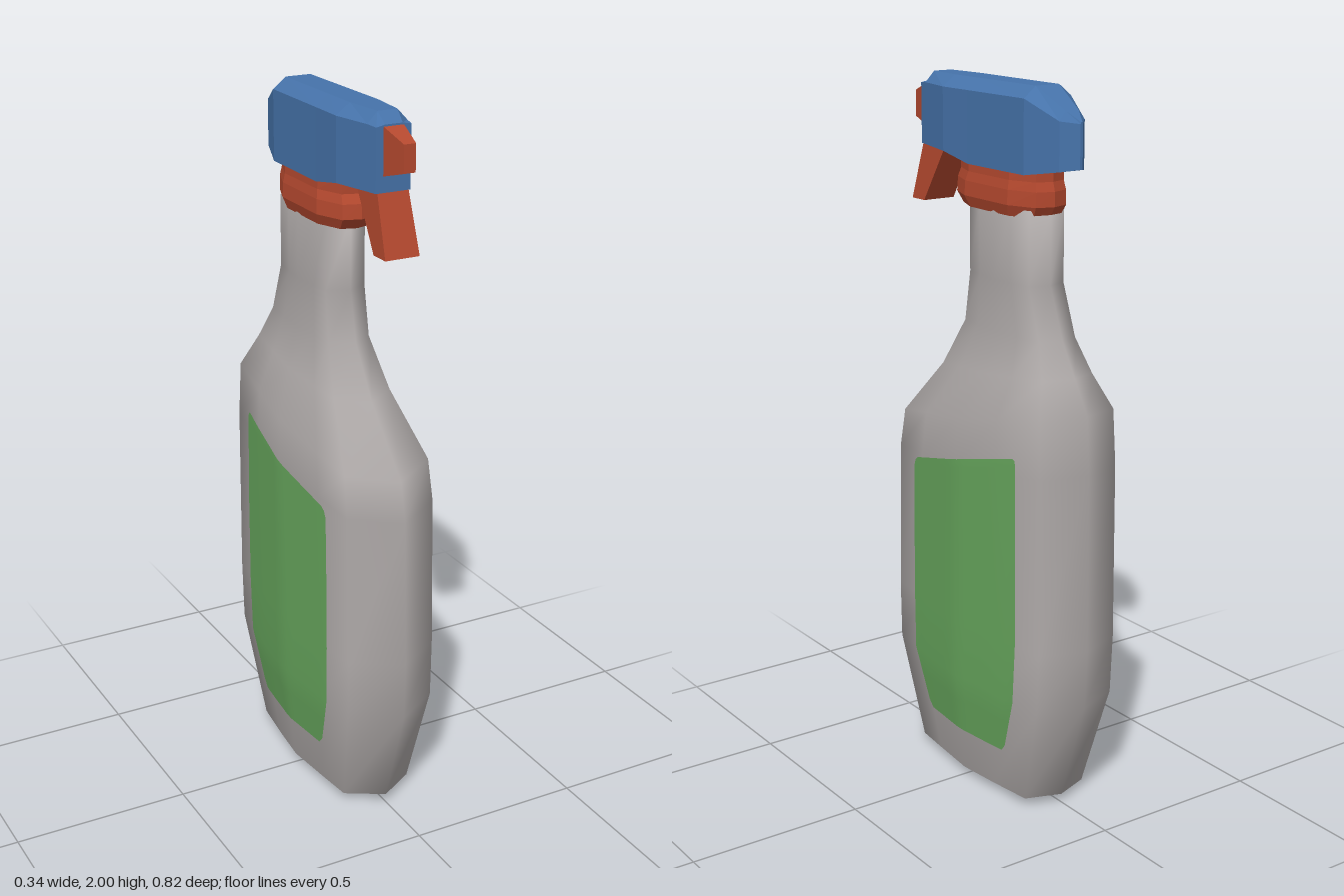
import * as THREE from 'three';

// Skin a closed solid through rings of [x, y, z] points (counter-clockwise seen from the last ring).
function loft(rings, smooth = false) {
  const n = rings[0].length;
  const pos = rings.flat(2);
  const index = [];
  for (let i = 0; i < rings.length - 1; i++) {
    for (let j = 0; j < n; j++) {
      const k = (j + 1) % n;
      const a = i * n + j, b = i * n + k, c = a + n, d = b + n;
      index.push(a, b, d, a, d, c);
    }
  }
  const last = (rings.length - 1) * n;
  for (let j = 1; j < n - 1; j++) {
    index.push(0, j + 1, j);
    index.push(last, last + j, last + j + 1);
  }
  let g = new THREE.BufferGeometry();
  g.setAttribute('position', new THREE.Float32BufferAttribute(pos, 3));
  g.setIndex(index);
  if (!smooth) g = g.toNonIndexed();
  g.computeVertexNormals();
  return g;
}

const lerp = THREE.MathUtils.lerp;

// Half outline of the body seen from above: [width fraction, depth fraction], front to back
const OUTLINE = [[0, 1], [0.8, 0.8], [0.89, 0.45], [1, -0.03], [0.9, -0.45], [0.77, -0.88], [0, -1]];

// Body levels: [front y, back y, front z, back z, half width]
const LEVELS = [
  [0, 0, 0.22, -0.22, 0.075],
  [0.025, 0.025, 0.31, -0.3, 0.13],
  [0.33, 0.33, 0.405, -0.4, 0.165],
  [0.5, 0.5, 0.41, -0.41, 0.165],
  [0.92, 1.0, 0.395, -0.405, 0.165],
  [1.03, 1.16, 0.37, -0.395, 0.16],
  [1.2, 1.25, 0.21, -0.34, 0.107],
  [1.34, 1.34, 0.12, -0.285, 0.077],
  [1.48, 1.48, 0.09, -0.23, 0.074],
  [1.68, 1.68, 0.09, -0.23, 0.074],
];

// Full ring of a level: the half outline, then its mirror image
function levelRing([yf, yb, zf, zb, w], outline) {
  const half = outline.map(([fx, fz]) => {
    const t = (1 - fz) / 2;
    return [fx * w, lerp(yf, yb, t), lerp(zf, zb, t)];
  });
  const mirrored = half.slice(1, -1).reverse().map(([x, y, z]) => [-x, y, z]);
  return [...half, ...mirrored];
}

// Half width of the body's flank at a given height and depth
function flankX(y, z) {
  const mid = (l) => (l[0] + l[1]) / 2;
  let i = 0;
  while (i < LEVELS.length - 2 && mid(LEVELS[i + 1]) < y) i++;
  const a = LEVELS[i], b = LEVELS[i + 1];
  const t = (y - mid(a)) / (mid(b) - mid(a));
  const zf = lerp(a[2], b[2], t), zb = lerp(a[3], b[3], t), w = lerp(a[4], b[4], t);
  const u = (2 * z - zf - zb) / (zf - zb);
  let k = 0;
  while (k < OUTLINE.length - 2 && OUTLINE[k + 1][1] > u) k++;
  const [x0, u0] = OUTLINE[k], [x1, u1] = OUTLINE[k + 1];
  return w * lerp(x0, x1, (u - u0) / (u1 - u0));
}

// Label rows: [front y, back y, front z, back z]
const LABEL_ROWS = [
  [0.155, 0.155, 0.155, -0.19],
  [0.175, 0.175, 0.173, -0.206],
  [0.25, 0.25, 0.198, -0.232],
  [0.33, 0.33, 0.224, -0.26],
  [0.5, 0.5, 0.226, -0.27],
  [0.7, 0.75, 0.224, -0.27],
  [0.895, 1.015, 0.22, -0.267],
  [0.915, 1.03, 0.212, -0.264],
  [0.925, 1.035, 0.198, -0.254],
];

function labelGeometry(side) {
  const cols = 14, pos = [], index = [];
  LABEL_ROWS.forEach(([yf, yb, zf, zb], r) => {
    for (let c = 0; c <= cols; c++) {
      const y = lerp(yf, yb, c / cols), z = lerp(zf, zb, c / cols);
      pos.push(side * (flankX(y, z) + 0.004), y, z);
      if (r && c) {
        const d = r * (cols + 1) + c, e = d - 1, b = d - cols - 1, a = b - 1;
        if (side > 0) index.push(a, b, d, a, d, e);
        else index.push(a, d, b, a, e, d);
      }
    }
  });
  const g = new THREE.BufferGeometry();
  g.setAttribute('position', new THREE.Float32BufferAttribute(pos, 3));
  g.setIndex(index);
  g.computeVertexNormals();
  return g;
}

// Rectangular ring facing +z
const rect = (w, y0, y1, z) => [[-w, y0, z], [w, y0, z], [w, y1, z], [-w, y1, z]];

export function createModel() {
  const model = new THREE.Group();
  model.name = 'sprayBottle';
  const material = (name, color, extra = {}) => {
    const m = new THREE.MeshStandardMaterial({ color, ...extra });
    m.name = name;
    return m;
  };
  const grey = material('bottleGrey', 0xaea9a8);
  const green = material('labelGreen', 0x66a55c, { side: THREE.DoubleSide });
  const red = material('triggerRed', 0xb5492f);
  const blue = material('headBlue', 0x4673aa);
  const add = (name, geometry, mat) => {
    const mesh = new THREE.Mesh(geometry, mat);
    mesh.name = name;
    model.add(mesh);
  };

  // Bottle body with slanted shoulder and neck
  add('bottle', loft(LEVELS.map((l) => levelRing(l, OUTLINE)), true), grey);

  // Labels on both flanks
  add('leftLabel', labelGeometry(1), green);
  add('rightLabel', labelGeometry(-1), green);

  // Collar around the neck
  const collarOutline = [[0, 1], [0.6, 0.92], [1, 0.5], [1, -0.5], [0.6, -0.92], [0, -1]];
  const collar = [
    [1.66, 1.66, 0.125, -0.225, 0.072],
    [1.69, 1.69, 0.15, -0.245, 0.082],
    [1.73, 1.73, 0.147, -0.245, 0.08],
    [1.755, 1.755, 0.135, -0.238, 0.075],
    [1.8, 1.8, 0.14, -0.24, 0.073],
  ];
  add('collar', loft(collar.map((l) => levelRing(l, collarOutline))), red);

  // Spray head, back to front: [z, half width, bottom y, top y, bevel]
  const head = [
    [-0.355, 0.004, 1.8, 1.92, 0.005],
    [-0.315, 0.04, 1.792, 1.945, 0.025],
    [-0.21, 0.075, 1.775, 2.0, 0.03],
    [0.04, 0.078, 1.775, 2.0, 0.03],
    [0.155, 0.08, 1.797, 2.0, 0.03],
    [0.275, 0.057, 1.8, 2.0, 0.03],
    [0.308, 0.05, 1.8, 1.972, 0.005],
  ].map(([z, w, y0, y1, b]) => [
    [-w, y0, z], [w, y0, z], [w, y1 - b, z], [w * 0.5, y1, z], [-w * 0.5, y1, z], [-w, y1 - b, z],
  ]);
  add('sprayHead', loft(head), blue);

  // Tapered nozzle
  add('nozzle', loft([rect(0.03, 1.84, 1.97, 0.3), rect(0.017, 1.865, 1.938, 0.388)]), red);

  // Slanted trigger: horizontal rings from the tip up into the head
  const trigger = [[1.64, 0.3, 0.36, 0.05], [1.8, 0.2, 0.308, 0.045], [1.83, 0.2, 0.295, 0.04]]
    .map(([y, zb, zf, w]) => [[w, y, zf], [w, y, zb], [-w, y, zb], [-w, y, zf]]);
  add('trigger', loft(trigger), red);

  return model;
}
